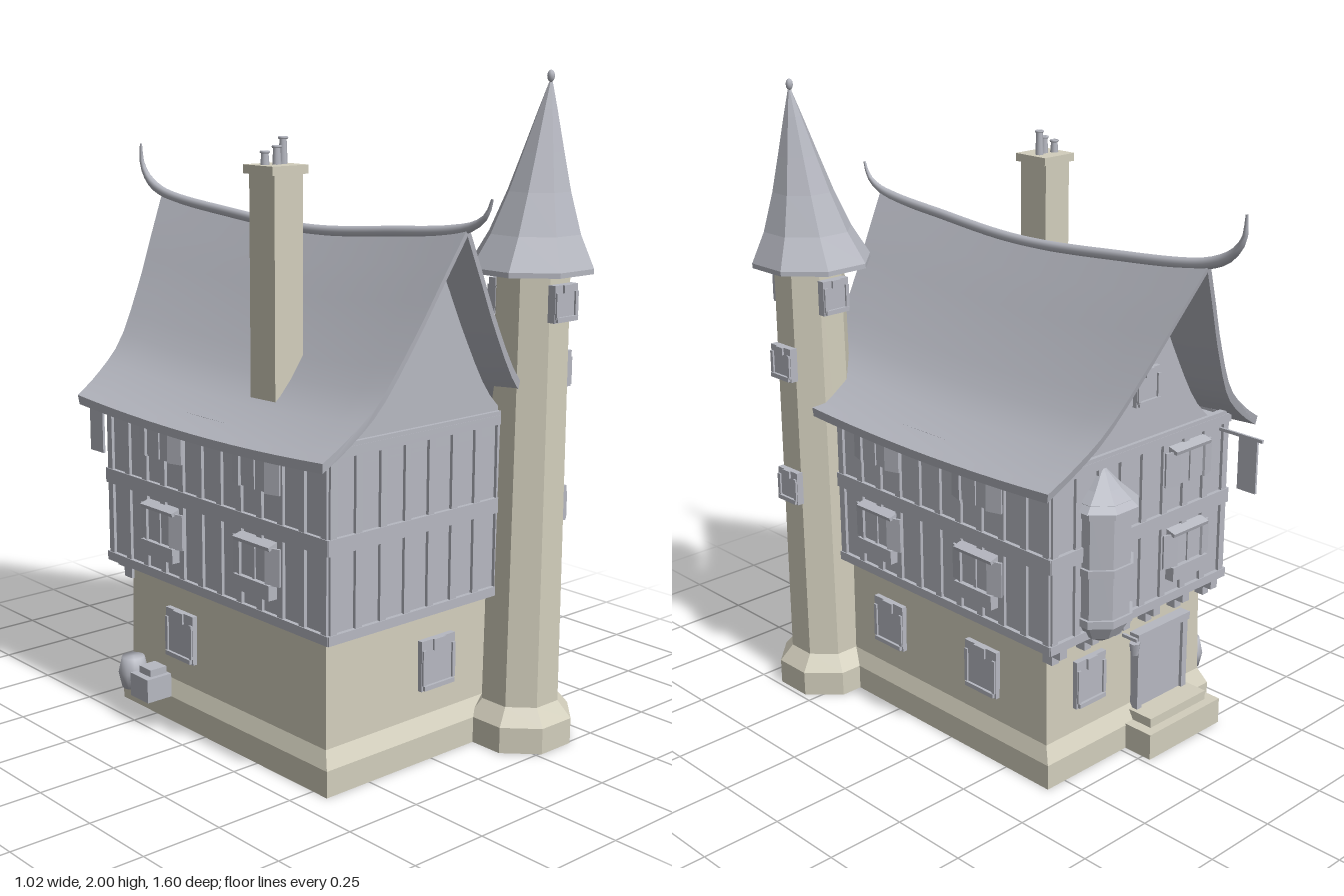
import * as THREE from 'three';
import { mergeVertices, toCreasedNormals } from 'three/addons/utils/BufferGeometryUtils.js';

const stone = new THREE.MeshStandardMaterial({ name: 'pale stone', color: 0xd2cebc, side: THREE.DoubleSide });
const grey = new THREE.MeshStandardMaterial({ name: 'blue grey', color: 0xb6b8c1, side: THREE.DoubleSide });

const CX = -0.045, CZ = 0.065; // centre of the house

function add(parent, name, geo, mat, x = 0, y = 0, z = 0) {
  const m = new THREE.Mesh(geo, mat);
  m.name = name;
  m.position.set(x, y, z);
  parent.add(m);
  return m;
}
const box = (parent, name, mat, w, h, d, x, y, z) => add(parent, name, new THREE.BoxGeometry(w, h, d), mat, x, y, z);

function group(parent, name, x, y, z, ry = 0) {
  const g = new THREE.Group();
  g.name = name;
  g.position.set(x, y, z);
  g.rotation.y = ry;
  parent.add(g);
  return g;
}

// Faceted surface of revolution, flat sides facing the axes
function facetedLathe(points, sides, move) {
  const pts = points.map(([r, y]) => new THREE.Vector2(r / Math.cos(Math.PI / sides), y));
  const geo = new THREE.LatheGeometry(pts, sides, Math.PI / sides);
  if (move) moveVertices(geo, move);
  const flat = geo.toNonIndexed();
  flat.computeVertexNormals();
  return flat;
}

function moveVertices(geo, rule) {
  const p = geo.attributes.position, v = new THREE.Vector3();
  for (let i = 0; i < p.count; i++) {
    rule(v.fromBufferAttribute(p, i));
    p.setXYZ(i, v.x, v.y, v.z);
  }
}

// Plain window with keystone, sill and hinges; faces local +z
function plainWindow(parent, x, y, z, w, h) {
  const g = group(parent, 'window', x, y, z);
  box(g, 'windowPanel', grey, w, h, 0.026, 0, 0, 0);
  box(g, 'windowKeystone', grey, w * 0.34, h * 0.22, 0.034, 0, h * 0.39, 0.003);
  box(g, 'windowSill', grey, w * 0.9, 0.014, 0.036, 0, -h / 2 + 0.01, 0.004);
  for (const s of [-1, 1]) box(g, 'windowJamb', grey, 0.012, h * 0.7, 0.034, s * (w / 2 - 0.008), -0.005, 0.002);
}

// Window with lid, open shutters and a flower box; faces local +z
function shutteredWindow(parent, x, y, z, boxed) {
  const g = group(parent, 'shutteredWindow', x, y, z);
  box(g, 'windowFrame', grey, 0.155, 0.11, 0.024, 0, 0, 0.004);
  for (const s of [-1, 1]) {
    const shutter = box(g, 'shutter', grey, 0.05, 0.11, 0.008, s * 0.08, 0, 0.016);
    shutter.rotation.y = s * 0.3;
  }
  box(g, 'windowMullion', grey, 0.01, 0.11, 0.03, 0, 0, 0.006);
  const lid = box(g, 'windowLid', grey, 0.16, 0.012, 0.035, 0, 0.058, 0.014);
  lid.rotation.x = 0.3;
  if (boxed) box(g, 'flowerBox', grey, 0.16, 0.045, 0.035, 0, -0.075, 0.014);
}

// Half-timbering on a wall of given width; local origin is the wall centre at ground height
function timbers(parent, width, bays) {
  for (const [y, h] of [[0.478, 0.028], [0.742, 0.046], [1.0, 0.028]])
    box(parent, 'beam', grey, width + 0.02, h, 0.022, 0, y, 0.002);
  for (let i = 0; i <= bays; i++) {
    const x = (i / bays - 0.5) * (width - 0.02);
    for (const y of [0.605, 0.877]) box(parent, 'stud', grey, 0.024, 0.23, 0.016, x, y, 0.002);
  }
}

// Roof half profile: distance from the ridge and height, eave to ridge
const PROFILE = [[0.458, 0.99], [0.37, 1.045], [0.265, 1.135], [0.155, 1.3], [0.075, 1.44], [0, 1.57]];
function roofLine(drop, shrink = 1) {
  const left = PROFILE.map(([d, y]) => new THREE.Vector2(-d * shrink, y - drop));
  const curve = new THREE.SplineCurve(left).getPoints(14);
  return curve.concat(curve.slice(0, -1).reverse().map(p => new THREE.Vector2(-p.x, p.y)));
}

function roof(parent) {
  const shape = new THREE.Shape(roofLine(0).concat(roofLine(0.028, 0.995).reverse()));
  let geo = new THREE.ExtrudeGeometry(shape, { depth: 2, steps: 12, bevelEnabled: false });
  moveVertices(geo, v => { // gables flare outward with height, ridge and eaves sag
    const t = v.z - 1, k = THREE.MathUtils.clamp((v.y - 0.97) / 0.6, 0, 1);
    v.z = t > 0 ? CZ + t * (0.572 + 0.075 * k) : CZ + t * (0.572 + 0.168 * k);
    v.y += (t * t - 0.6) * (0.02 + 0.04 * k);
    v.x += CX;
  });
  geo.deleteAttribute('uv');
  geo.deleteAttribute('normal');
  geo = toCreasedNormals(mergeVertices(geo, 1e-5), 0.5);
  add(parent, 'roof', geo, grey);

  // Ridge beam curling up into tapered horns
  const path = new THREE.CatmullRomCurve3([
    [1.67, 0.795], [1.625, 0.775], [1.588, 0.71], [1.552, 0.4], [1.53, 0.065], [1.55, -0.3],
    [1.592, -0.67], [1.63, -0.75], [1.68, -0.787], [1.745, -0.792]
  ].map(([y, z]) => new THREE.Vector3(CX, y, z)));
  const segs = 60, ridge = new THREE.TubeGeometry(path, segs, 0.017, 8);
  let i = 0;
  moveVertices(ridge, v => {
    const u = Math.floor(i++ / 9) / segs, c = path.getPointAt(u);
    v.sub(c).multiplyScalar(Math.min(1, 0.25 + 8 * Math.min(u, 1 - u)));
    v.x *= 0.75;
    v.add(c);
  });
  add(parent, 'ridgeHorns', ridge, grey);

  // Gable walls
  const gable = new THREE.Shape(roofLine(0.03, 0.84));
  for (const [z, s] of [[0.56, 1], [-0.45, -1]]) {
    const wall = new THREE.ExtrudeGeometry(gable, { depth: 0.02, bevelEnabled: false });
    add(parent, 'gableWall', wall, grey, CX, -0.005, z);
    box(parent, 'gableBeam', grey, 0.74, 0.022, 0.02, CX, 1.015, s > 0 ? 0.582 : -0.452);
  }
}

function turret(parent) {
  const g = group(parent, 'turret', 0.331, 0, 0.604);
  const lean = v => { v.x += 0.008 * v.y; };
  add(g, 'turretShaft', facetedLathe([[0.153, 0], [0.153, 0.08], [0.113, 0.13], [0.103, 1.45]], 8, lean), stone);
  const cone = [[0.09, 1.43], [0.174, 1.43], [0.174, 1.445], [0.128, 1.54], [0.088, 1.66], [0.058, 1.77], [0.026, 1.89], [0.005, 1.965]];
  add(g, 'turretRoof', facetedLathe(cone, 8, v => {
    const t = Math.max(0, (v.y - 1.44) / 0.52);
    v.x += 0.043 * t;
    v.z += 0.018 * t;
  }), grey);
  const finial = add(g, 'turretFinial', new THREE.SphereGeometry(0.011, 8, 6), grey, 0.043, 1.982, 0.018);
  finial.scale.y = 1.6;
  // Windows on the front, back and right sides
  for (const [y, ry] of [[1.347, 0], [1.347, Math.PI], [1.132, Math.PI / 2], [0.72, Math.PI / 2]]) {
    const face = group(g, 'turretWindow', 0.008 * y, 0, 0, ry);
    plainWindow(face, 0, y, 0.115, 0.097, 0.108);
  }
}

function oriel(parent) {
  const g = group(parent, 'oriel', 0, 0, 0);
  const half = (name, pts) => {
    const shell = add(g, name, facetedLathe(pts, 8), grey, 0.13, 0, -0.455);
    shell.scale.z = 0.9;
  };
  half('orielBody', [[0.01, 0.44], [0.06, 0.47], [0.088, 0.52], [0.088, 0.9]]);
  half('orielRoof', [[0.085, 0.875], [0.108, 0.88], [0.055, 0.93], [0.015, 0.975], [0, 0.995]]);
  for (const y of [0.53, 0.69, 0.87]) half('orielBand', [[0.088, y - 0.012], [0.097, y - 0.012], [0.097, y + 0.012], [0.088, y + 0.012]]);
}

export function createModel() {
  const house = new THREE.Group();
  house.name = 'house';

  // Stone ground floor with sloping plinth, open below
  const base = add(house, 'stoneBase', facetedLathe([[1, 0], [1, 0.08], [0.945, 0.13], [0.932, 0.47]], 4), stone, CX, 0, CZ);
  base.scale.set(0.368, 1, 0.494);
  box(house, 'upperStorey', grey, 0.765, 0.54, 1.03, CX, 0.735, CZ);

  // Four walls, each facing its own local +z
  const wall = (name, ry, width, out, bays) => {
    const g = group(house, name, CX + Math.sin(ry) * out, 0, CZ + Math.cos(ry) * out, ry);
    timbers(g, width, bays);
    return g;
  };
  const front = wall('frontWall', 0, 0.765, 0.515, 8);
  const back = wall('backWall', Math.PI, 0.765, 0.515, 8);
  const right = wall('rightWall', Math.PI / 2, 1.03, 0.3825, 11);
  const left = wall('leftWall', -Math.PI / 2, 1.03, 0.3825, 11);

  plainWindow(front, 0.083, 0.288, -0.048, 0.137, 0.155);
  for (const [g, s] of [[right, -1], [left, 1]]) {
    for (const z of [0.29, -0.162]) {
      shutteredWindow(g, s * (z - CZ), 0.64, 0.006, true);
      shutteredWindow(g, s * (z - CZ), 0.905, 0.006, false);
    }
  }
  for (const z of [0.3, -0.132]) plainWindow(right, CZ - z, 0.288, -0.034, 0.137, 0.155);
  plainWindow(left, -0.132 - CZ, 0.288, -0.034, 0.137, 0.155);

  // Back: windows, door, steps and jetty brackets (local x is mirrored)
  plainWindow(back, -0.17, 0.288, -0.048, 0.125, 0.155);
  plainWindow(back, 0, 1.19, 0.002, 0.1, 0.11);
  shutteredWindow(back, 0.19, 0.64, 0.006, true);
  shutteredWindow(back, 0.19, 0.905, 0.006, false);
  box(back, 'door', grey, 0.2, 0.25, 0.03, 0.14, 0.235, -0.045);
  for (const s of [-1, 1]) box(back, 'doorJamb', grey, 0.022, 0.25, 0.045, 0.14 + s * 0.105, 0.235, -0.042);
  box(back, 'doorLintel', grey, 0.24, 0.025, 0.05, 0.14, 0.362, -0.04);
  box(back, 'lowerStep', stone, 0.33, 0.085, 0.13, 0.14, 0.0425, 0.015);
  box(back, 'upperStep', stone, 0.26, 0.03, 0.1, 0.14, 0.1, 0);
  for (let i = 0; i < 6; i++) {
    const x = -0.34 + i * 0.136;
    box(back, 'bracketTop', grey, 0.03, 0.03, 0.075, x, 0.452, -0.025);
    box(back, 'bracketFoot', grey, 0.028, 0.035, 0.04, x, 0.425, -0.04);
  }
  oriel(house);

  // Lantern on a short arm
  box(back, 'lanternArm', grey, 0.01, 0.01, 0.06, -0.01, 0.375, -0.025);
  add(back, 'lantern', new THREE.CylinderGeometry(0.018, 0.012, 0.04, 6), grey, -0.01, 0.345, -0.005);

  // Hanging board on a pole
  box(house, 'signPole', grey, 0.008, 0.01, 0.17, -0.4, 0.967, -0.53);
  box(house, 'signBoard', grey, 0.008, 0.17, 0.07, -0.4, 0.878, -0.562);

  roof(house);

  // Chimney with cap and three pots
  const chimney = group(house, 'chimney', -0.3, 0, 0.212);
  box(chimney, 'chimneyStack', stone, 0.103, 0.72, 0.11, 0, 1.365, 0);
  box(chimney, 'chimneyCap', stone, 0.131, 0.025, 0.128, 0, 1.73, 0);
  for (const [x, z, h] of [[-0.033, -0.008, 0.038], [0, 0.004, 0.052], [0.033, -0.008, 0.075]]) {
    add(chimney, 'chimneyPot', new THREE.CylinderGeometry(0.01, 0.013, h, 8), grey, x, 1.74 + h / 2, z);
    add(chimney, 'potRim', new THREE.TorusGeometry(0.011, 0.004, 6, 10).rotateX(Math.PI / 2), grey, x, 1.74 + h, z);
  }

  turret(house);

  // Barrel and crate beside the left wall
  const barrel = [[0, 0.085], [0.036, 0.085], [0.047, 0.135], [0.036, 0.185], [0, 0.185]].map(p => new THREE.Vector2(...p));
  add(house, 'barrel', new THREE.LatheGeometry(barrel, 12), grey, -0.457, 0, -0.31);
  box(house, 'crate', grey, 0.09, 0.075, 0.09, -0.465, 0.123, -0.205);
  box(house, 'crateLid', grey, 0.06, 0.025, 0.06, -0.457, 0.17, -0.205);
  return house;
}
